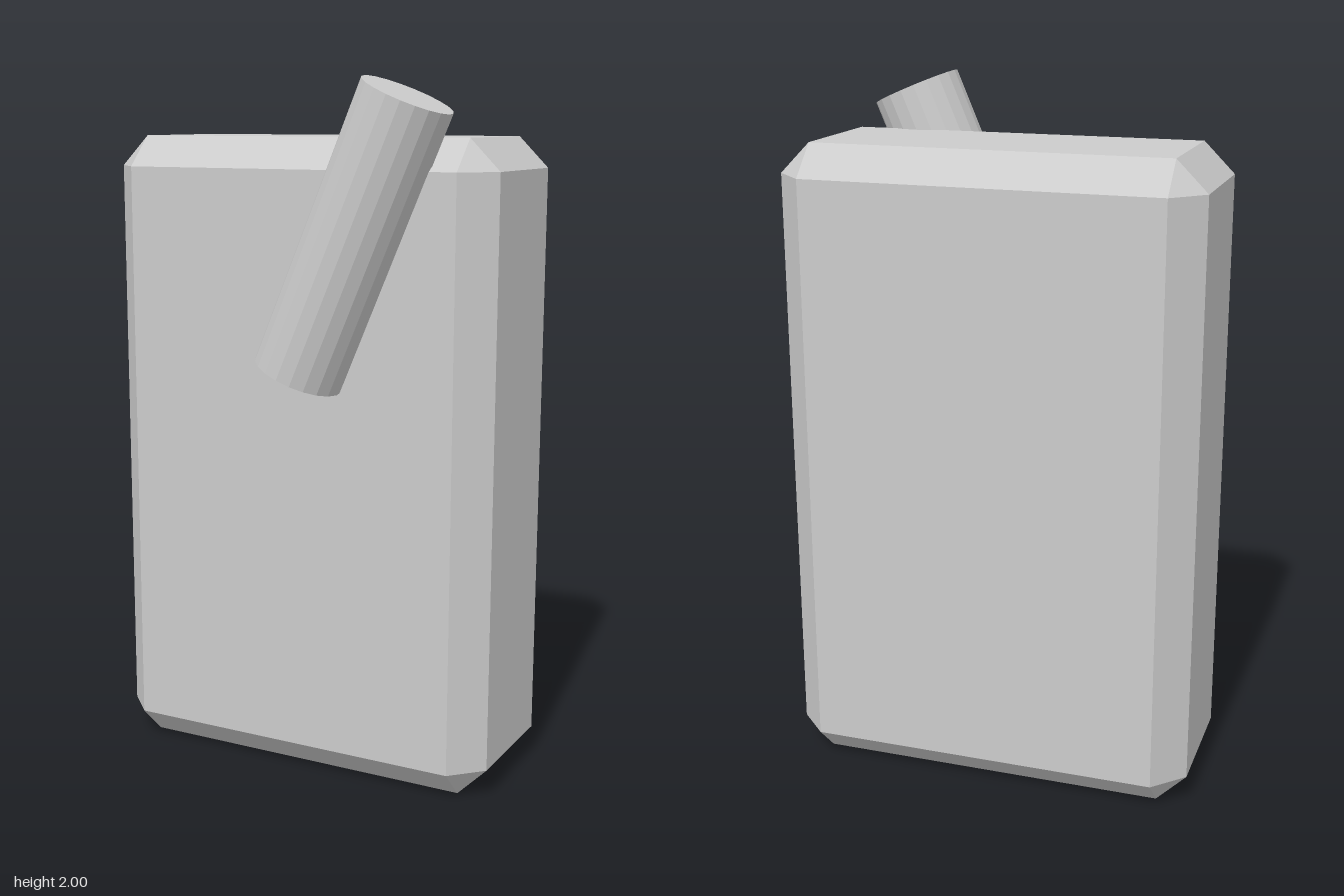
import * as THREE from 'three';
import { ConvexGeometry } from 'three/addons/geometries/ConvexGeometry.js';

// Box with every edge cut at 45 degrees and a triangle at each corner
function chamferedBox(w, h, d, c) {
  const points = [];
  for (const sx of [-1, 1]) for (const sy of [-1, 1]) for (const sz of [-1, 1]) {
    const x = w / 2, y = h / 2, z = d / 2;
    points.push(
      new THREE.Vector3(sx * x, sy * (y - c), sz * (z - c)),
      new THREE.Vector3(sx * (x - c), sy * y, sz * (z - c)),
      new THREE.Vector3(sx * (x - c), sy * (y - c), sz * z)
    );
  }
  return new ConvexGeometry(points);
}

export function createModel() {
  const group = new THREE.Group();
  const material = new THREE.MeshStandardMaterial({ color: 0xcccccc, flatShading: true });

  // Upright chamfered body
  const body = new THREE.Mesh(chamferedBox(1.19, 1.84, 0.536, 0.087), material);
  body.name = 'body';
  body.position.set(0, 0.92, -0.077);
  group.add(body);

  // Slanted tube half sunk into the front
  const bottom = new THREE.Vector3(0.055, 1.195, 0.215);
  const top = new THREE.Vector3(0.377, 1.95, 0.215);
  const axis = top.clone().sub(bottom);
  const tube = new THREE.Mesh(new THREE.CylinderGeometry(0.129, 0.129, axis.length(), 20), material);
  tube.name = 'slantedTube';
  tube.position.copy(bottom).add(top).multiplyScalar(0.5);
  tube.rotation.z = -Math.atan2(axis.x, axis.y);
  group.add(tube);

  return group;
}
